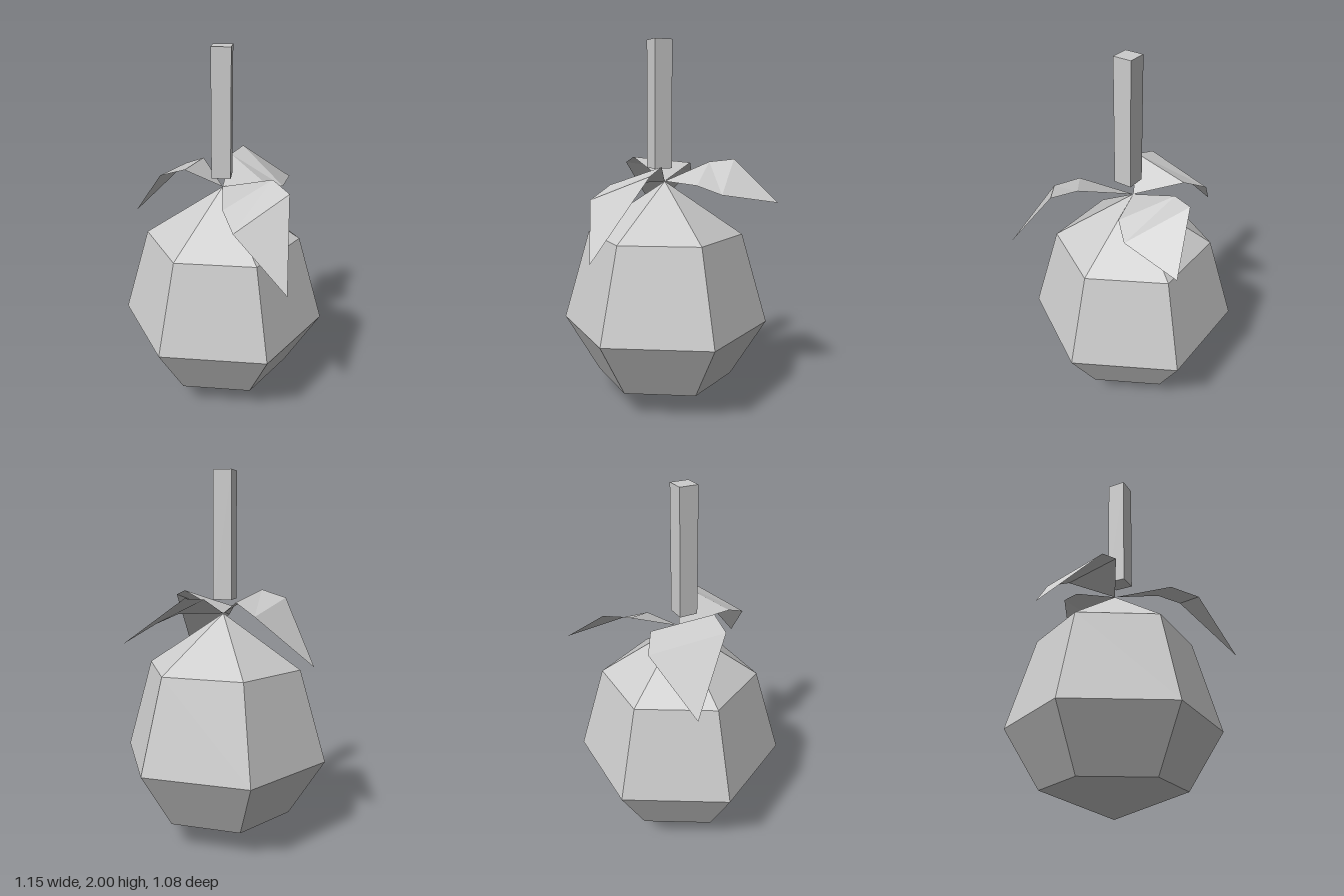
import * as THREE from 'three';

const grey = new THREE.MeshStandardMaterial({ color: 0xcccccc, flatShading: true, side: THREE.DoubleSide });
grey.name = 'plain grey';

const CENTRE_Z = -0.035;
const APEX = [0, 1.245, CENTRE_Z];

// Folded leaf: root triangle, bent middle quad and drooping tip triangle.
// Points: inner a, inner b, outer b, outer a, tip.
function makeLeaf(name, [a, b, c, d, tip]) {
  const geometry = new THREE.BufferGeometry();
  const corners = [APEX, b, a, a, b, c, a, c, d, d, c, tip];
  geometry.setAttribute('position', new THREE.Float32BufferAttribute(corners.flat(), 3));
  geometry.computeVertexNormals();
  const leaf = new THREE.Mesh(geometry, grey);
  leaf.name = name;
  return leaf;
}

export function createModel() {
  const model = new THREE.Group();
  model.name = 'fruit';

  // Six-sided fruit body, closed to a point at both ends
  const profile = [[0, 0], [0.38, 0.14], [0.575, 0.455], [0.43, 0.955], [0, 1.245]]
    .map(([r, y]) => new THREE.Vector2(r, y));
  const body = new THREE.Mesh(new THREE.LatheGeometry(profile, 6, Math.PI / 2), grey);
  body.position.z = CENTRE_Z;
  body.name = 'body';
  model.add(body);

  // Square stem, held just above the leaves
  const stem = new THREE.Mesh(new THREE.BoxGeometry(0.102, 0.68, 0.102), grey);
  stem.position.set(0, 1.66, -0.003);
  stem.name = 'stem';
  model.add(stem);

  // Three leaves spreading from the top of the body
  model.add(
    makeLeaf('frontLeaf', [
      [0.275, 1.35, 0.115], [0.035, 1.245, 0.3], [0.1, 1.18, 0.435], [0.365, 1.315, 0.22], [0.375, 0.91, 0.54],
    ]),
    makeLeaf('backLeaf', [
      [0.02, 1.345, -0.305], [0.235, 1.24, -0.11], [0.325, 1.195, -0.21], [0.08, 1.36, -0.43], [0.36, 1.14, -0.54],
    ]),
    makeLeaf('rightLeaf', [
      [-0.19, 1.37, 0.07], [-0.135, 1.33, -0.265], [-0.25, 1.27, -0.335], [-0.325, 1.33, 0.06], [-0.53, 1.01, -0.21],
    ]),
  );

  return model;
}
